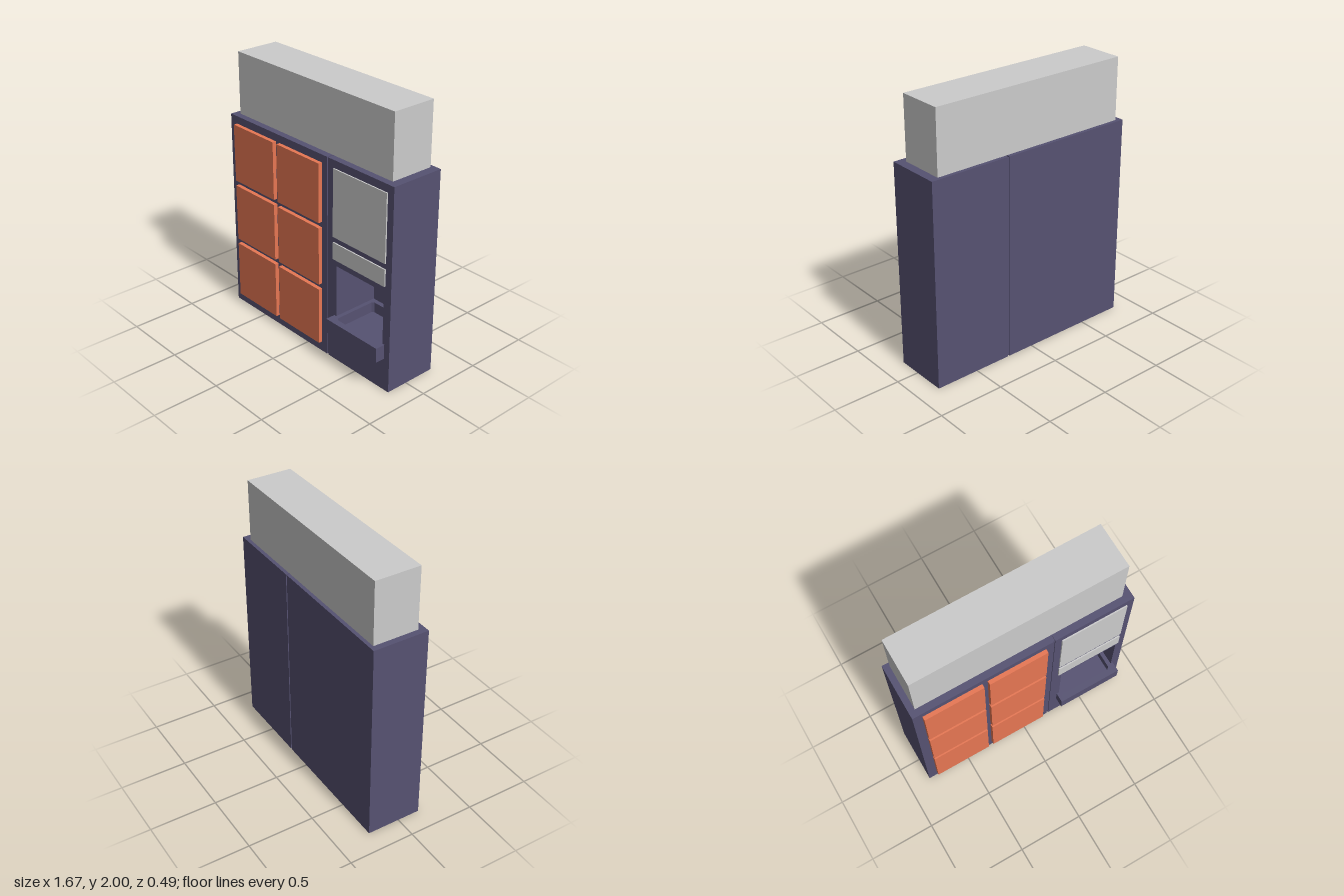
import * as THREE from 'three';

const navy = new THREE.MeshStandardMaterial({ color: 0x565272 });
const orange = new THREE.MeshStandardMaterial({ color: 0xe77753 });
const grey = new THREE.MeshStandardMaterial({ color: 0xcccccc });

// Box given by its lower and upper corner
function box(name, material, [x0, y0, z0], [x1, y1, z1]) {
  const mesh = new THREE.Mesh(new THREE.BoxGeometry(x1 - x0, y1 - y0, z1 - z0), material);
  mesh.position.set((x0 + x1) / 2, (y0 + y1) / 2, (z0 + z1) / 2);
  mesh.name = name;
  return mesh;
}

// Corner points of a rectangle with cut corners of size c
function rectPoints(x0, y0, x1, y1, c = 0) {
  const pts = c
    ? [[x0 + c, y0], [x1 - c, y0], [x1, y0 + c], [x1, y1 - c], [x1 - c, y1], [x0 + c, y1], [x0, y1 - c], [x0, y0 + c]]
    : [[x0, y0], [x1, y0], [x1, y1], [x0, y1]];
  return pts.map(([x, y]) => new THREE.Vector2(x, y));
}

// Extruded rectangle with one opening
function frame(name, outer, hole, depth) {
  const shape = new THREE.Shape(outer);
  shape.holes.push(new THREE.Path(hole));
  const mesh = new THREE.Mesh(new THREE.ExtrudeGeometry(shape, { depth, bevelEnabled: false }), navy);
  mesh.name = name;
  return mesh;
}

export function createModel() {
  const model = new THREE.Group();
  const back = -0.245, front = 0.17, height = 1.535, recessBack = -0.19;

  // Locker cabinet and the shallow seam between the two cabinets
  model.add(box('lockerCabinet', navy, [-0.835, 0, back], [0.207, height, front]));
  model.add(box('seam', navy, [0.2, 0.006, back + 0.006], [0.23, height - 0.006, front - 0.006]));

  // Service cabinet: a frame around the recess, closed by a back board
  const serviceCabinet = new THREE.Group();
  serviceCabinet.name = 'serviceCabinet';
  const shell = frame('cabinetShell', rectPoints(0.223, 0, 0.832, height),
    rectPoints(0.305, 0.255, 0.765, 0.757), front - recessBack);
  shell.position.z = recessBack;
  serviceCabinet.add(shell, box('backBoard', navy, [0.223, 0, back], [0.832, height, recessBack]));
  model.add(serviceCabinet);

  // Tray running from the back of the recess out past the front
  const tray = new THREE.Group();
  tray.name = 'tray';
  const rim = frame('trayRim', rectPoints(0.285, -0.245, 0.783, 0.19),
    rectPoints(0.335, -0.197, 0.735, 0.155, 0.015), 0.08);
  rim.rotation.x = -Math.PI / 2;
  rim.position.y = 0.28;
  tray.add(rim, box('trayFloor', navy, [0.285, 0.248, recessBack], [0.783, 0.28, 0.245]));
  model.add(tray);

  // Screen and the narrow panel below it
  model.add(box('screen', grey, [0.275, 0.975, 0.16], [0.778, 1.478, 0.18]));
  model.add(box('lowerPanel', grey, [0.275, 0.805, 0.16], [0.778, 0.933, 0.18]));

  // Locker doors, two columns of three
  const doors = new THREE.Group();
  doors.name = 'lockerDoors';
  for (const x of [-0.767, -0.286]) {
    for (let row = 0; row < 3; row++) {
      const y = 0.078 + row * 0.48;
      doors.add(box('lockerDoor', orange, [x, y, 0.16], [x + 0.441, y + 0.44, 0.2]));
    }
  }
  model.add(doors);

  // Sign box on the top
  model.add(box('topBox', grey, [-0.79, height, -0.218], [0.768, 2, 0.12]));
  return model;
}
